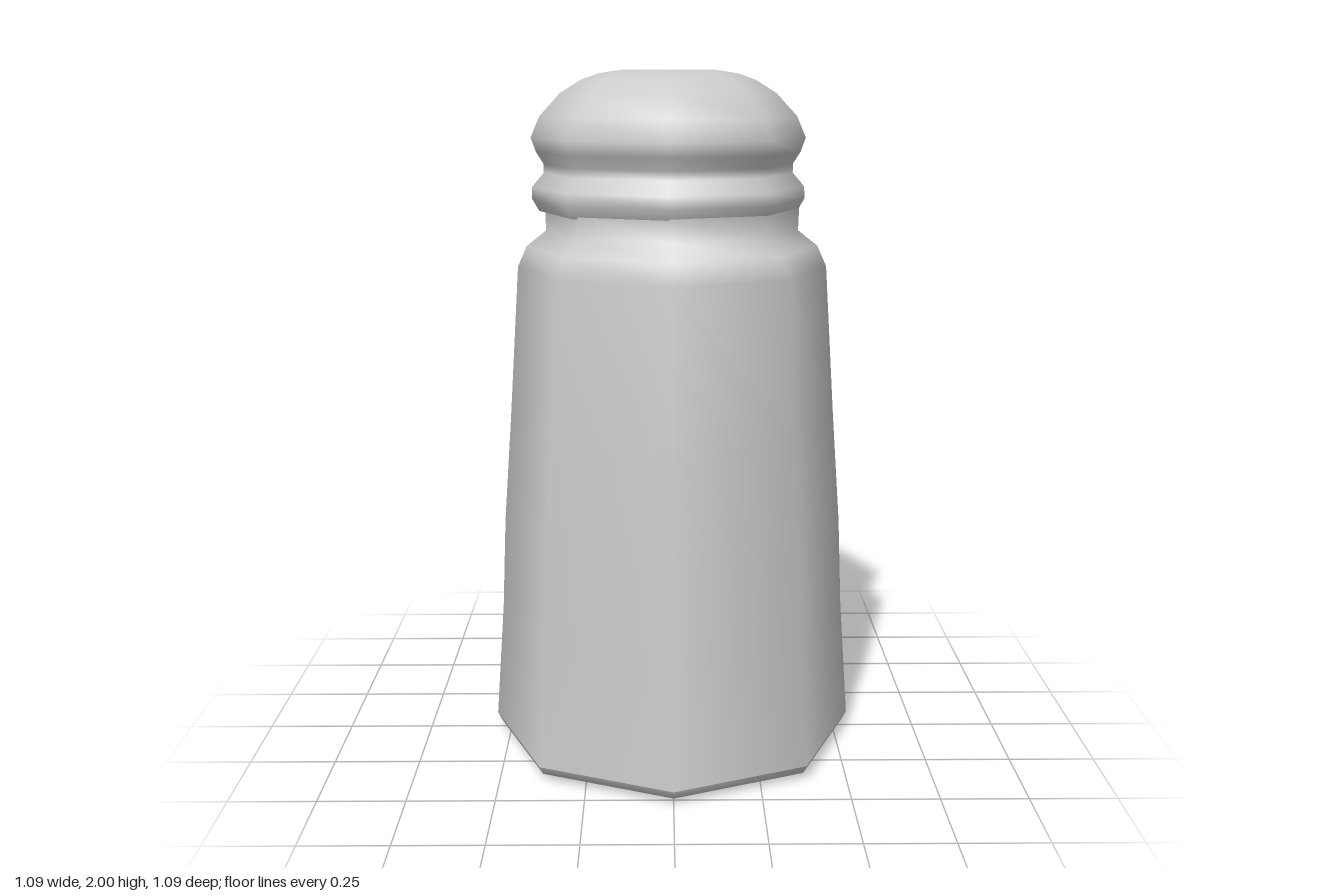
import * as THREE from 'three';

// Eight-sided lathe, smooth within each profile; profiles run bottom to top as [radius, height]
function turned(name, profile, material) {
  const points = profile.map(([r, y]) => new THREE.Vector2(r, y));
  const mesh = new THREE.Mesh(new THREE.LatheGeometry(points, 8), material);
  mesh.name = name;
  return mesh;
}

export function createModel() {
  const group = new THREE.Group();
  group.name = 'shaker';
  const grey = new THREE.MeshStandardMaterial({ color: 0xcccccc });
  grey.name = 'light grey';

  // Flat underside and bevelled foot, kept separate for crisp edges
  group.add(turned('baseUnderside', [[0, 0], [0.49, 0]], grey));
  group.add(turned('baseBevel', [[0.49, 0], [0.53, 0.02], [0.543, 0.045]], grey));

  // Tapering body with rounded shoulder and short neck
  group.add(turned('body', [
    [0.543, 0.045], [0.517, 0.4], [0.505, 0.67], [0.48, 1.0], [0.45, 1.44],
    [0.423, 1.5], [0.366, 1.545], [0.368, 1.61],
  ], grey));

  // Cap, set very slightly off centre
  const cap = new THREE.Group();
  cap.name = 'cap';
  cap.position.set(-0.011, 0, -0.015);
  cap.add(turned('capUnderside', [[0, 1.6], [0.375, 1.6]], grey));
  cap.add(turned('capDome', [
    [0.375, 1.6], [0.395, 1.635], [0.394, 1.67], [0.36, 1.71], [0.36, 1.735],
    [0.382, 1.77], [0.396, 1.81], [0.37, 1.87], [0.31, 1.935], [0.25, 1.972],
    [0.2, 1.99], [0.135, 2.0], [0, 2.0],
  ], grey));
  group.add(cap);
  return group;
}
